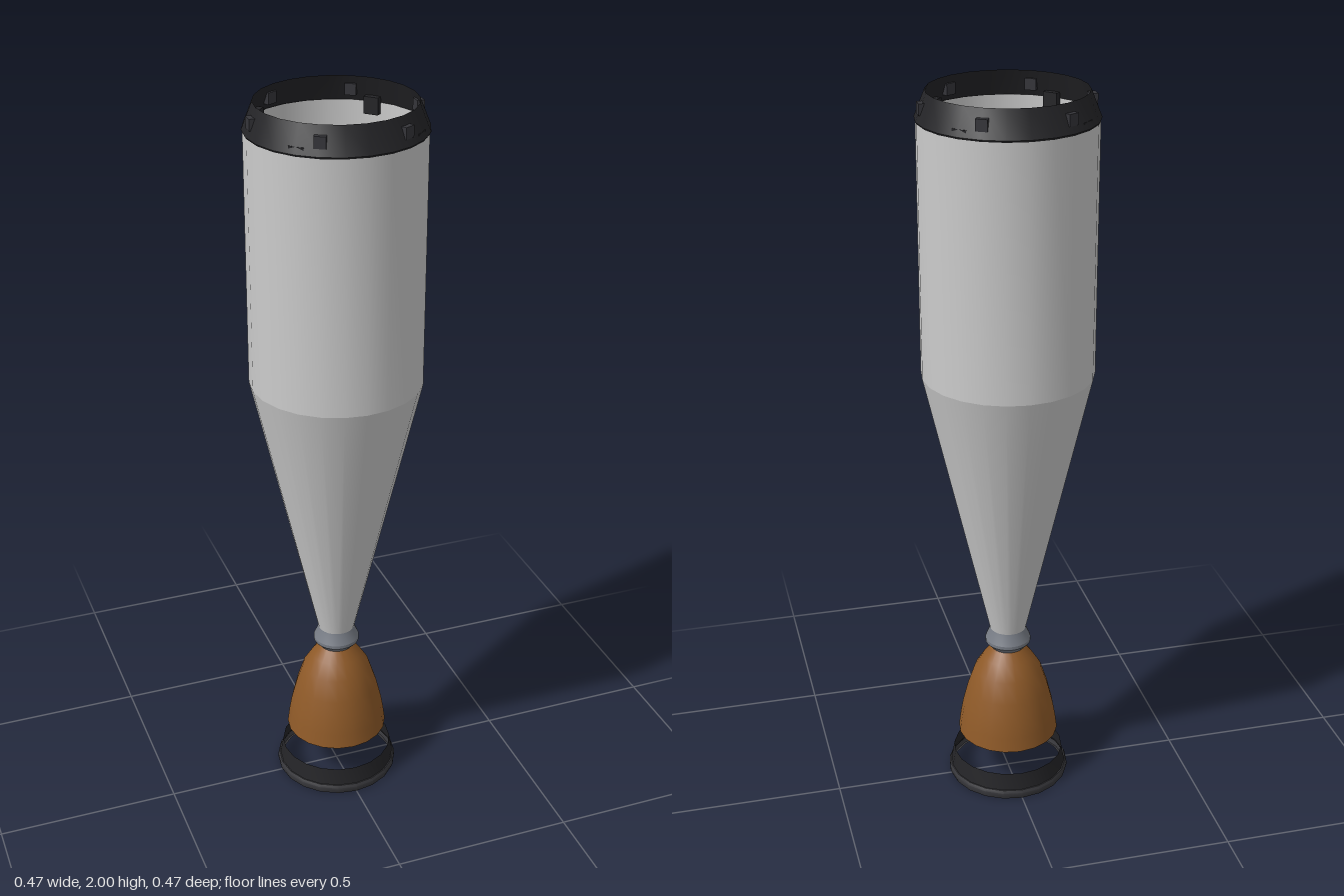
import * as THREE from 'three';
import { toCreasedNormals } from 'three/addons/utils/BufferGeometryUtils.js';

const material = (color) => new THREE.MeshStandardMaterial({ color, side: THREE.DoubleSide });
const grey = material(0xcccccc);
const black = material(0x242427);
const steel = material(0x787d86);
const copper = material(0x8f5a28);

// Open surface of revolution from [radius, y] pairs listed bottom to top
function turned(name, profile, mat, sides = 24, crease = 0.5) {
  const lathe = new THREE.LatheGeometry(profile.map(([r, y]) => new THREE.Vector2(r, y)), sides);
  const mesh = new THREE.Mesh(toCreasedNormals(lathe, crease), mat);
  mesh.name = name;
  return mesh;
}

// Boxes spaced evenly around the axis, each facing outwards
function radialBoxes(name, count, start, size, radius, y, mat) {
  const group = new THREE.Group();
  group.name = name + 's';
  for (let i = 0; i < count; i++) {
    const angle = start + (i / count) * Math.PI * 2;
    const box = new THREE.Mesh(new THREE.BoxGeometry(...size), mat);
    box.name = name;
    box.position.set(Math.cos(angle) * radius, y, -Math.sin(angle) * radius);
    box.rotation.y = angle;
    group.add(box);
  }
  return group;
}

export function createModel() {
  const model = new THREE.Group();
  model.name = 'rocketStage';

  // Hollow fairing: straight barrel over a long cone
  model.add(turned('barrel', [[0.23, 1.25], [0.23, 1.93]], grey));
  model.add(turned('cone', [[0.05, 0.47], [0.23, 1.25]], grey));

  // Tapered ring at the top, with outer clips and inner blocks
  model.add(turned('topRing', [[0.23, 1.925], [0.233, 1.93], [0.205, 2.0]], black));
  model.add(radialBoxes('clip', 6, 0, [0.02, 0.03, 0.03], 0.217, 1.963, material(0x35353a)));
  model.add(radialBoxes('innerBlock', 4, Math.PI / 4, [0.018, 0.045, 0.04], 0.217, 1.925, black));

  // Collar between cone and engine bell, closed on top
  model.add(turned('collar',
    [[0, 0.41], [0.046, 0.41], [0.064, 0.43], [0.064, 0.44], [0.052, 0.468], [0.05, 0.475], [0, 0.475]], steel, 24, 0.4));

  // Engine bell, open at the bottom
  model.add(turned('engineBell',
    [[0.142, 0.14], [0.137, 0.18], [0.13, 0.22], [0.115, 0.28], [0.095, 0.34], [0.07, 0.38], [0.043, 0.415]], copper, 20));

  // Loose ring below the bell, with a rounded flange
  model.add(turned('baseRing', [[0.166, 0.02], [0.156, 0.075]], black, 20));
  model.add(turned('baseFlange',
    [[0.163, 0], [0.169, 0], [0.172, 0.008], [0.172, 0.018], [0.168, 0.026], [0.163, 0.026]], material(0x38383c), 20));

  return model;
}
